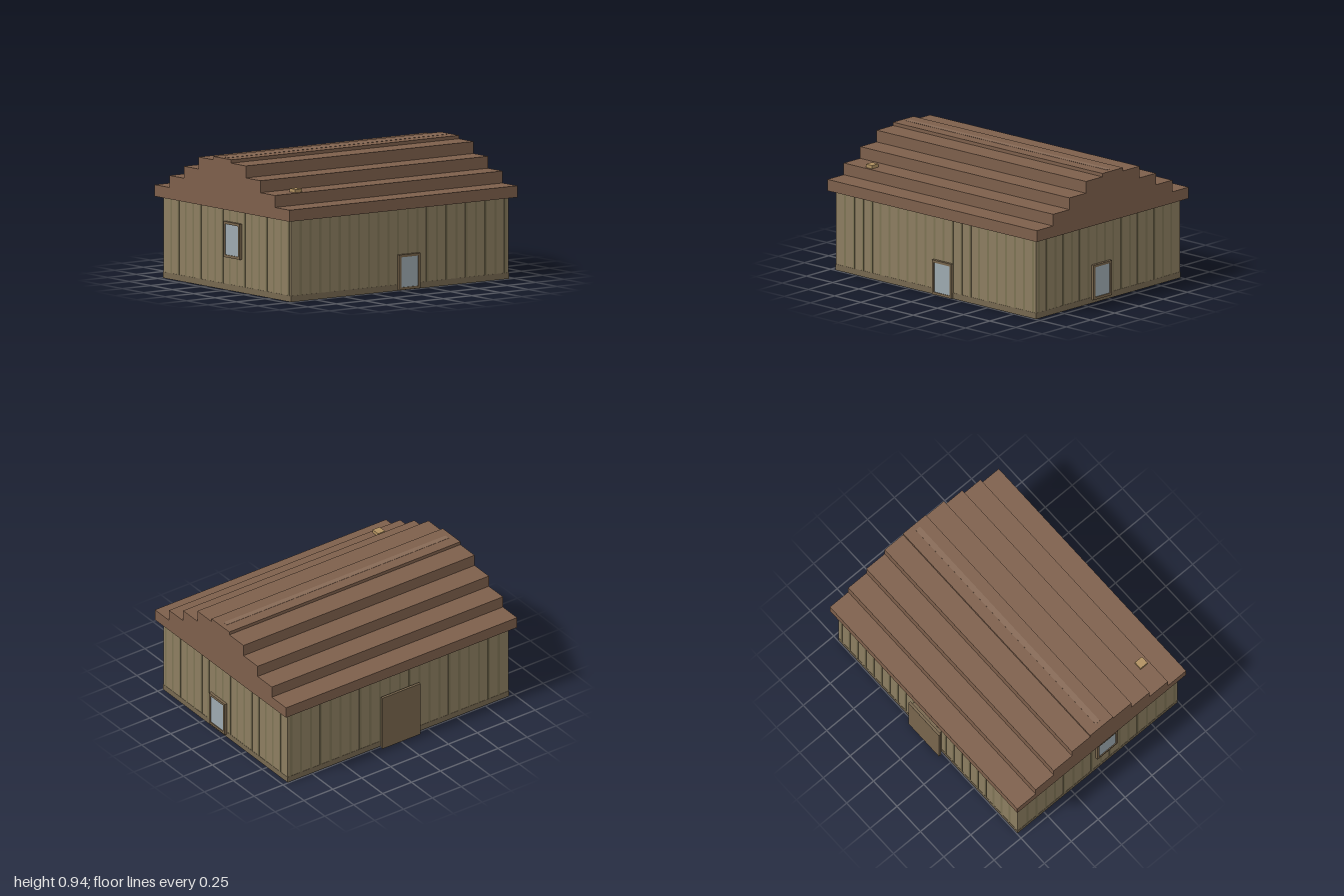
import * as THREE from 'three';

const paint = (color) => new THREE.MeshStandardMaterial({ color });
const wallMat = paint(0x8c7d60);
const ribMat = paint(0x7d7354);
const skirtMat = paint(0x766850);
const roofMat = paint(0x7d5f4b);
const ridgeMat = paint(0x876a56);
const frameMat = paint(0x77654c);
const glassMat = paint(0x9da9b0);
const ventMat = paint(0xb09060);

const HX = 0.955, HZ = 0.743, WALL_TOP = 0.578;

// Box given by its minimum and maximum corners
function box(name, mat, [x0, y0, z0], [x1, y1, z1]) {
  const mesh = new THREE.Mesh(new THREE.BoxGeometry(x1 - x0, y1 - y0, z1 - z0), mat);
  mesh.position.set((x0 + x1) / 2, (y0 + y1) / 2, (z0 + z1) / 2);
  mesh.name = name;
  return mesh;
}

// Framed pane standing on the z = 0 plane and facing +z
function framedPane(name, width, height, border, depth) {
  const group = new THREE.Group();
  group.name = name;
  const w = width / 2, h = height / 2, iw = w - border, ih = h - border;
  const shape = new THREE.Shape([
    new THREE.Vector2(-w, -h), new THREE.Vector2(w, -h),
    new THREE.Vector2(w, h), new THREE.Vector2(-w, h),
  ]);
  shape.holes.push(new THREE.Path([
    new THREE.Vector2(-iw, -ih), new THREE.Vector2(-iw, ih),
    new THREE.Vector2(iw, ih), new THREE.Vector2(iw, -ih),
  ]));
  const frame = new THREE.Mesh(
    new THREE.ExtrudeGeometry(shape, { depth, bevelEnabled: false }), frameMat);
  frame.name = 'frame';
  group.add(frame, box('glass', glassMat, [-iw, -ih, 0], [iw, ih, depth * 0.7]));
  return group;
}

// Stepped gable roof, extruded along x
function steppedRoof() {
  const steps = [[0.785, 0.66], [0.615, 0.745], [0.446, 0.83], [0.276, 0.915], [0.106, 0.939]];
  const half = [];
  let y = WALL_TOP;
  for (const [z, top] of steps) {
    half.push([z, y], [z, top]);
    y = top;
  }
  const outline = [...half, ...half.map(([z, h]) => [-z, h]).reverse()];
  const shape = new THREE.Shape(outline.map(([z, h]) => new THREE.Vector2(z, h)));
  const geo = new THREE.ExtrudeGeometry(shape, { depth: 2, bevelEnabled: false });
  geo.translate(0, 0, -1).rotateY(Math.PI / 2);
  const mesh = new THREE.Mesh(geo, roofMat);
  mesh.name = 'steppedRoof';
  return mesh;
}

export function createModel() {
  const model = new THREE.Group();
  model.name = 'cabin';

  // Walls with a darker skirting
  model.add(box('walls', wallMat, [-HX, 0, -HZ], [HX, WALL_TOP, HZ]));
  const s = 0.002;
  model.add(box('skirting', skirtMat, [-HX - s, 0.001, -HZ - s], [HX + s, 0.044, HZ + s]));

  // Thin vertical siding ribs on all four walls
  const ribs = new THREE.Group();
  ribs.name = 'sidingRibs';
  const pitch = 0.0855, half = 0.009, t = 0.0015;
  for (let i = 0; i < 22; i++) {
    const x = -0.87 + i * pitch;
    for (const z of [-HZ, HZ])
      ribs.add(box('rib', ribMat, [x - half, 0.002, z - t], [x + half, WALL_TOP, z + t]));
  }
  for (let i = 0; i < 17; i++) {
    const z = 0.716 - i * pitch;
    for (const x of [-HX, HX])
      ribs.add(box('rib', ribMat, [x - t, 0.002, z - half], [x + t, WALL_TOP, z + half]));
  }
  model.add(ribs);

  // Roof, ridge strip and small roof vent
  model.add(steppedRoof());
  model.add(box('ridgeStrip', ridgeMat, [-0.96, 0.93, -0.022], [0.96, 0.9405, 0.018]));
  model.add(box('roofVent', ventMat, [-0.807, 0.74, 0.53], [-0.747, 0.769, 0.595]));

  // Glazed front door
  const frontDoor = framedPane('frontDoor', 0.186, 0.25, 0.018, 0.022);
  frontDoor.position.set(0.072, 0.13, HZ);
  model.add(frontDoor);

  // Side windows: low on the left, high on the right
  for (const [name, side, y] of [['leftWindow', 1, 0.153], ['rightWindow', -1, 0.362]]) {
    const win = framedPane(name, 0.19, 0.253, 0.018, 0.021);
    win.rotation.y = side * Math.PI / 2;
    win.position.set(side * HX, y, 0.077);
    model.add(win);
  }

  // Solid back door: backing and a slightly larger leaf
  model.add(box('backDoorBacking', frameMat, [-0.145, 0.004, -0.766], [0.145, 0.405, -HZ]));
  model.add(box('backDoorLeaf', frameMat, [-0.163, 0.004, -0.785], [0.163, 0.425, -0.766]));

  return model;
}
